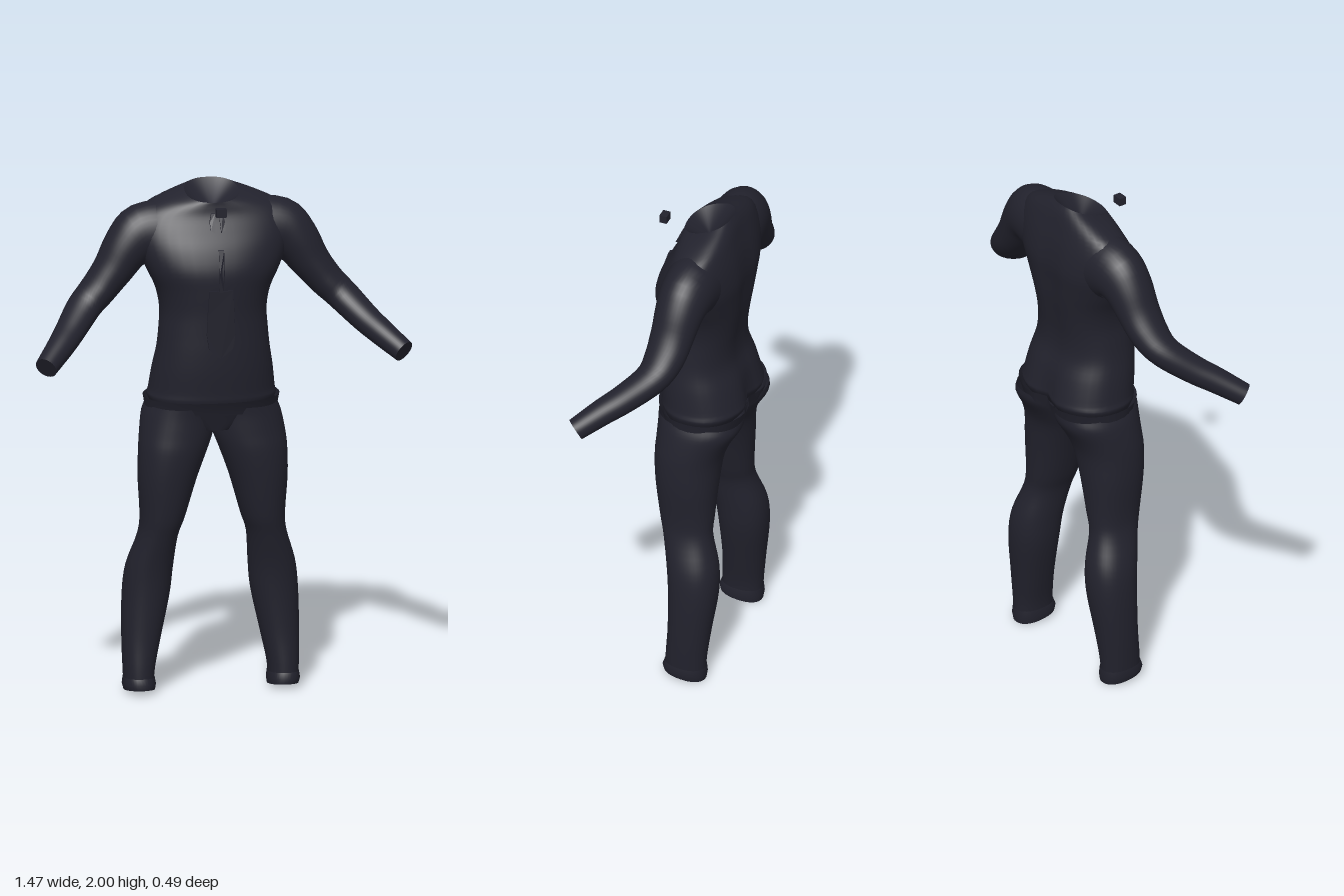
import * as THREE from 'three';

const SEG = 40;

// Catmull-Rom smoothing of rows of numbers
function refine(rows, steps) {
  const out = [], at = i => rows[Math.min(rows.length - 1, Math.max(0, i))];
  for (let i = 0; i < rows.length - 1; i++) {
    for (let k = 0; k < steps; k++) {
      const t = k / steps;
      out.push(at(i).map((p1, c) => {
        const p0 = at(i - 1)[c], p2 = at(i + 1)[c], p3 = at(i + 2)[c];
        return 0.5 * (2 * p1 + (p2 - p0) * t + (2 * p0 - 5 * p1 + 4 * p2 - p3) * t * t
          + (3 * p1 - p0 - 3 * p2 + p3) * t * t * t);
      }));
    }
  }
  out.push(rows[rows.length - 1]);
  return out;
}

// Skin over closed rings; caps are optional centre points; flip mirrors the winding
function loft(rings, { start, end, flip = false } = {}) {
  const pos = [], idx = [], n = rings[0].length;
  const tri = (a, b, c) => (flip ? idx.push(a, c, b) : idx.push(a, b, c));
  rings.forEach(r => r.forEach(p => pos.push(p.x, p.y, p.z)));
  for (let i = 0; i < rings.length - 1; i++) {
    for (let j = 0; j < n; j++) {
      const a = i * n + j, b = i * n + (j + 1) % n;
      tri(a, a + n, b);
      tri(b, a + n, b + n);
    }
  }
  const cap = (ring, centre, isEnd) => {
    const base = pos.length / 3;
    [...ring, centre].forEach(p => pos.push(p.x, p.y, p.z));
    for (let j = 0; j < n; j++) {
      const a = base + j, b = base + (j + 1) % n;
      if (isEnd) tri(a, base + n, b); else tri(a, b, base + n);
    }
  };
  if (start) cap(rings[0], start, false);
  if (end) cap(rings[rings.length - 1], end, true);
  const g = new THREE.BufferGeometry();
  g.setAttribute('position', new THREE.Float32BufferAttribute(pos, 3));
  g.setIndex(idx);
  g.computeVertexNormals();
  return g;
}

// Rounded horizontal section: limits in x and z, forward tilt, rear cleft depth
function section(y, x0, x1, zf, zb, tilt = 0, cleft = 0, power = 2.3) {
  const ring = [], xc = (x0 + x1) / 2, rx = (x1 - x0) / 2, zc = (zf + zb) / 2, rz = (zf - zb) / 2;
  const bend = v => Math.sign(v) * Math.pow(Math.abs(v), 2 / power);
  for (let j = 0; j < SEG; j++) {
    const a = j / SEG * Math.PI * 2, c = bend(Math.cos(a)), s = bend(Math.sin(a));
    const x = xc + rx * c;
    const notch = s < 0 ? cleft * Math.exp(-((x / 0.05) ** 2)) : 0;
    ring.push(new THREE.Vector3(x, y - tilt * s, zc + rz * s + notch));
  }
  return ring;
}

// y, half width, front z, back z, tilt, cleft
const TORSO = [
  [1.05, 0.09, 0.075, -0.15, 0, 0.02], [1.1, 0.2, 0.09, -0.19, 0, 0.03],
  [1.165, 0.247, 0.112, -0.235, 0, 0.035], [1.2, 0.243, 0.116, -0.233, 0, 0.03],
  [1.285, 0.232, 0.125, -0.21, 0, 0.015], [1.365, 0.218, 0.129, -0.182, 0, 0.008],
  [1.44, 0.21, 0.13, -0.178, 0, 0.008], [1.52, 0.206, 0.132, -0.188, 0, 0.01],
  [1.6, 0.222, 0.137, -0.2, 0, 0.012], [1.68, 0.26, 0.137, -0.208, 0, 0.015],
  [1.76, 0.29, 0.113, -0.213, 0, 0.015], [1.84, 0.3, 0.078, -0.2, 0.01, 0.01],
  [1.905, 0.27, 0.05, -0.178, 0.02, 0.005], [1.945, 0.19, 0.042, -0.16, 0.025, 0],
  [1.97, 0.105, 0.04, -0.142, 0.03, 0],
];

// y, inner x, outer x, front z, back z
const LEG = [
  [0.02, 0.226, 0.338, 0.012, -0.148], [0.1, 0.22, 0.342, 0.01, -0.152],
  [0.22, 0.195, 0.345, 0.005, -0.165], [0.385, 0.16, 0.342, 0.01, -0.185],
  [0.5, 0.148, 0.328, 0.022, -0.18], [0.62, 0.136, 0.29, 0.048, -0.147],
  [0.7, 0.11, 0.281, 0.068, -0.146], [0.85, 0.066, 0.29, 0.09, -0.155],
  [0.96, 0.026, 0.288, 0.1, -0.165], [1.03, 0.0, 0.281, 0.099, -0.19],
  [1.1, -0.012, 0.268, 0.098, -0.23], [1.14, -0.012, 0.252, 0.1, -0.235],
];

// centre x, y, z, vertical radius, depth radius
const ARM = [
  [0.19, 1.8, -0.07, 0.135, 0.11], [0.27, 1.8, -0.07, 0.122, 0.103],
  [0.33, 1.755, -0.063, 0.095, 0.095], [0.385, 1.675, -0.056, 0.077, 0.086],
  [0.445, 1.6, -0.046, 0.067, 0.08], [0.505, 1.54, -0.018, 0.06, 0.07],
  [0.575, 1.468, 0.065, 0.054, 0.06], [0.63, 1.42, 0.135, 0.05, 0.053],
  [0.699, 1.363, 0.214, 0.044, 0.044],
];

function armGeometry(side) {
  const rows = refine(ARM, 4);
  const centres = rows.map(r => new THREE.Vector3(r[0], r[1], r[2]));
  const up = new THREE.Vector3(0, 1, 0);
  const place = v => v.setX(v.x * side);
  const rings = rows.map((r, i) => {
    const t = centres[Math.min(i + 1, rows.length - 1)].clone().sub(centres[Math.max(i - 1, 0)]).normalize();
    const h = t.clone().cross(up).normalize(), v = h.clone().cross(t);
    return Array.from({ length: SEG }, (_, j) => {
      const a = j / SEG * Math.PI * 2;
      return place(centres[i].clone().addScaledVector(h, Math.cos(a) * r[4]).addScaledVector(v, Math.sin(a) * r[3]));
    });
  });
  return loft(rings, { end: place(centres[centres.length - 1].clone()), flip: side < 0 });
}

// Depth of the chest centre line at a height
function chestZ(y) {
  for (let i = 1; i < TORSO.length; i++) {
    const a = TORSO[i - 1], b = TORSO[i], ya = a[0] - a[4], yb = b[0] - b[4];
    if (y <= yb) return THREE.MathUtils.lerp(a[2], b[2], (y - ya) / (yb - ya));
  }
  return 0.04;
}

// Thin plate that follows the chest
function chestPlate(points) {
  const shape = new THREE.Shape(points.map(p => new THREE.Vector2(p[0], p[1])));
  const g = new THREE.ExtrudeGeometry(shape, { depth: 0.009, bevelEnabled: false });
  const p = g.attributes.position;
  for (let i = 0; i < p.count; i++) p.setZ(i, p.getZ(i) + chestZ(p.getY(i)) - 0.001);
  g.computeVertexNormals();
  return g;
}

export function createModel() {
  const model = new THREE.Group();
  const cloth = new THREE.MeshStandardMaterial({ name: 'midnight cloth', color: 0x22222d, side: THREE.DoubleSide });
  const add = (name, geometry) => {
    const mesh = new THREE.Mesh(geometry, cloth);
    mesh.name = name;
    model.add(mesh);
    return mesh;
  };

  // Shirt body with a sunken neck opening
  const torso = refine(TORSO, 4).map(([y, w, f, b, t, c]) => section(y, -w, w, f, b, t, c));
  add('torso', loft(torso, { end: new THREE.Vector3(0, 1.89, -0.05) }));

  // Flared waistband, open at the top
  add('waistband', loft([
    section(1.115, -0.255, 0.255, 0.102, -0.232, 0, 0.03),
    section(1.14, -0.258, 0.258, 0.11, -0.24, 0, 0.035),
    section(1.168, -0.263, 0.263, 0.124, -0.25, 0, 0.04),
  ]));

  // Sleeves, trouser legs and ankle cuffs
  for (const [side, label] of [[1, 'left'], [-1, 'right']]) {
    const flip = side < 0;
    const mirror = ring => ring.map(p => p.setX(p.x * side));
    add(label + 'Sleeve', armGeometry(side));
    const leg = refine(LEG, 4).map(([y, a, b, f, k]) => mirror(section(y, a, b, f, k, 0, 0, 2.2)));
    add(label + 'TrouserLeg', loft(leg, { start: new THREE.Vector3(0.282 * side, 0.025, -0.068), flip }));
    add(label + 'Cuff', loft([
      mirror(section(0.012, 0.222, 0.338, 0.018, -0.15, -0.01)),
      mirror(section(0.035, 0.218, 0.345, 0.022, -0.154, -0.007)),
      mirror(section(0.062, 0.222, 0.341, 0.013, -0.151, -0.004)),
    ], { flip }));
    // Short tabs under the collar
    add(label + 'CollarTab', chestPlate([[0.008, 1.9], [0.022, 1.9], [0.03, 1.87], [0.028, 1.84], [0.012, 1.83]]
      .map(p => [p[0] * side, p[1]])));
  }

  // Necktie: loose knot, narrow strip and broad blade
  add('tieKnot', new THREE.BoxGeometry(0.04, 0.032, 0.03)).position.set(0, 1.923, 0.137);
  add('tieStrip', chestPlate([[-0.008, 1.61], [0.008, 1.61], [0.013, 1.68], [0.016, 1.77], [-0.004, 1.77], [-0.006, 1.68]]));
  add('tieBlade', chestPlate([[0, 1.345], [0.046, 1.385], [0.055, 1.44], [0.052, 1.52], [0.046, 1.615],
    [-0.046, 1.615], [-0.052, 1.52], [-0.055, 1.44], [-0.046, 1.385]]));
  return model;
}
